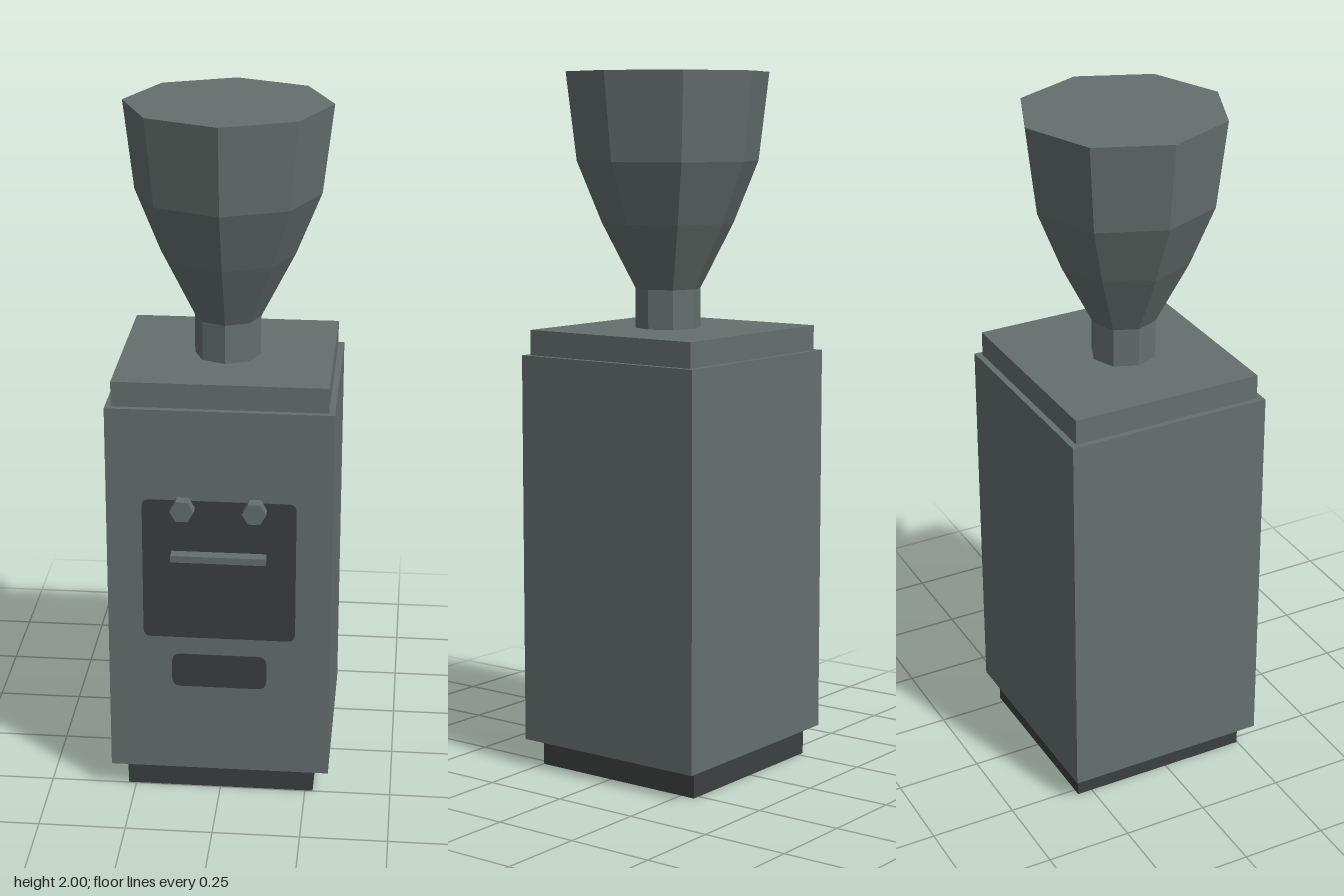
import * as THREE from 'three';

export function createModel() {
  const model = new THREE.Group();
  model.name = 'grinder';
  const shell = new THREE.MeshStandardMaterial({ color: 0x64706e, flatShading: true });
  shell.name = 'grey green shell';
  const dark = new THREE.MeshStandardMaterial({ color: 0x3c4040, flatShading: true });
  dark.name = 'dark grey';

  const add = (name, geometry, material, x = 0, y = 0, z = 0) => {
    const mesh = new THREE.Mesh(geometry, material);
    mesh.name = name;
    mesh.position.set(x, y, z);
    model.add(mesh);
    return mesh;
  };
  // Box given by width, its bottom and top, and its back and front
  const box = (name, w, y0, y1, z0, z1, material) =>
    add(name, new THREE.BoxGeometry(w, y1 - y0, z1 - z0), material, 0, (y0 + y1) / 2, (z0 + z1) / 2);

  // Stacked housing
  box('base', 0.546, 0, 0.08, -0.295, 0.248, dark);
  box('body', 0.636, 0.08, 1.203, -0.32, 0.28, shell);
  box('lid', 0.602, 1.203, 1.275, -0.302, 0.262, shell);

  // Eight-sided hopper with neck, closed at the top
  const profile = [[0.094, 1.27], [0.094, 1.388], [0.19, 1.575], [0.261, 1.75], [0.291, 2], [0, 2]];
  add('hopper', new THREE.LatheGeometry(profile.map(([r, y]) => new THREE.Vector2(r, y)), 8), shell);

  // Thin panels with rounded corners on the front
  const panel = (name, w, y0, y1, r) => {
    const x = w / 2;
    const s = new THREE.Shape();
    s.moveTo(-x + r, y0);
    s.lineTo(x - r, y0).quadraticCurveTo(x, y0, x, y0 + r);
    s.lineTo(x, y1 - r).quadraticCurveTo(x, y1, x - r, y1);
    s.lineTo(-x + r, y1).quadraticCurveTo(-x, y1, -x, y1 - r);
    s.lineTo(-x, y0 + r).quadraticCurveTo(-x, y0, -x + r, y0);
    add(name, new THREE.ExtrudeGeometry(s, { depth: 0.004, bevelEnabled: false, curveSegments: 4 }), dark, 0, 0, 0.278);
  };
  panel('doorPanel', 0.434, 0.508, 0.935, 0.022);
  panel('lowerPanel', 0.272, 0.35, 0.454, 0.026);

  // Handle bar and two hexagonal knobs
  box('handle', 0.268, 0.76, 0.78, 0.278, 0.317, shell);
  for (const side of [-1, 1]) {
    const geometry = new THREE.CylinderGeometry(0.034, 0.034, 0.039, 6, 1, false, Math.PI / 2);
    geometry.rotateX(Math.PI / 2);
    add(side < 0 ? 'rightKnob' : 'leftKnob', geometry, shell, side * 0.101, 0.915, 0.2975);
  }
  return model;
}
